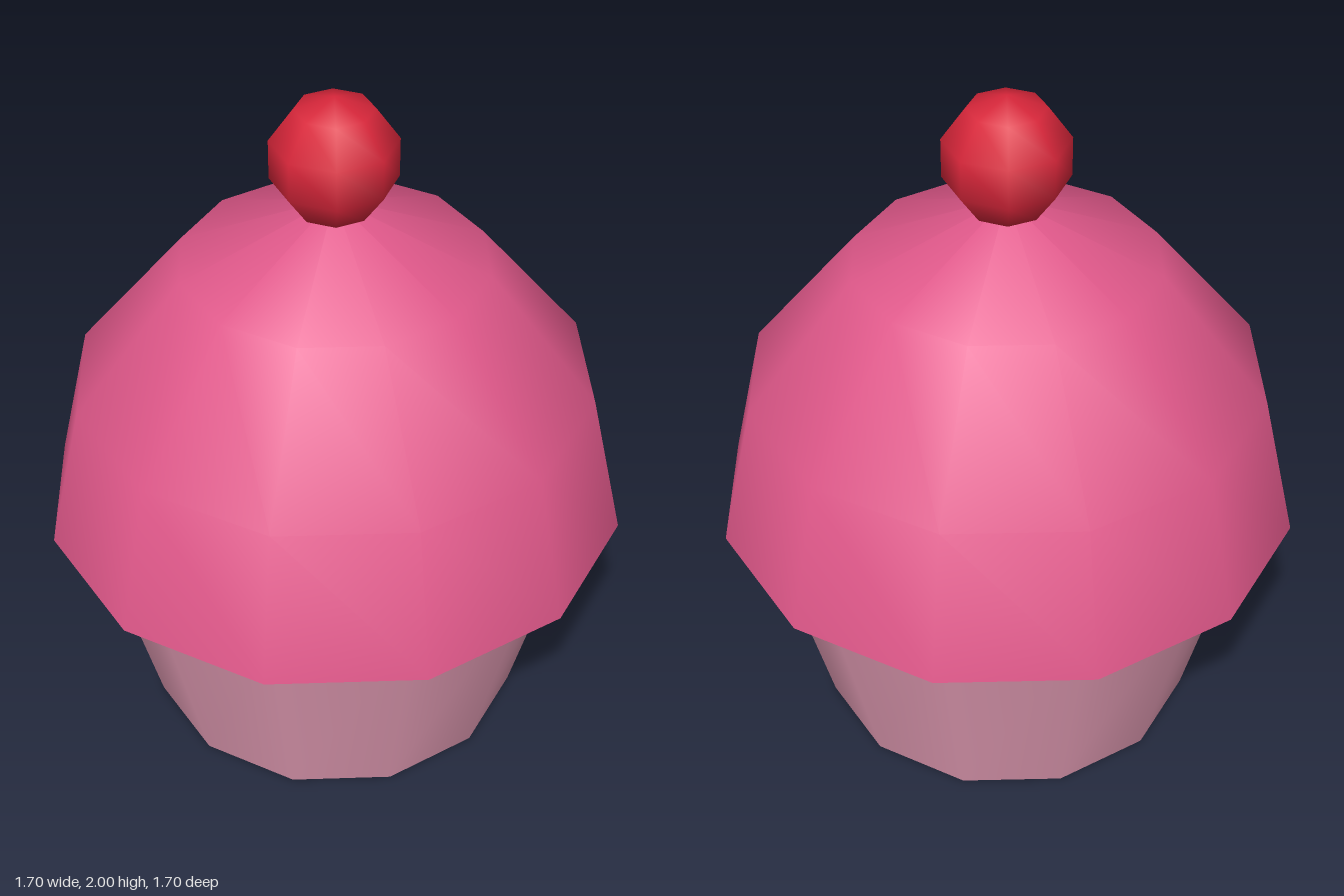
import * as THREE from 'three';

export function createModel() {
  const group = new THREE.Group();
  group.name = 'cupcake';

  const paper = new THREE.MeshStandardMaterial({ color: 0xde98b0 });
  paper.name = 'pale pink paper';
  const icing = new THREE.MeshStandardMaterial({ color: 0xe0588a, side: THREE.DoubleSide });
  icing.name = 'pink icing';
  const red = new THREE.MeshStandardMaterial({ color: 0xd8263a });
  red.name = 'cherry red';

  const add = (name, geometry, material, y = 0) => {
    const mesh = new THREE.Mesh(geometry, material);
    mesh.name = name;
    mesh.position.y = y;
    group.add(mesh);
  };

  // Tapered cup, its top tucked up inside the frosting
  const cupHeight = 0.76;
  add('cup', new THREE.CylinderGeometry(0.753, 0.562, cupHeight, 12), paper, cupHeight / 2);

  // Frosting: a twelve-sided dome shell, open underneath
  const profile = [[0.85, 0.693], [0.748, 1.128], [0.438, 1.505], [0, 1.692]]
    .map(([r, y]) => new THREE.Vector2(r, y));
  add('frosting', new THREE.LatheGeometry(profile, 12), icing);

  // Cherry sunk slightly into the peak
  add('cherry', new THREE.SphereGeometry(0.184, 8, 5), red, 1.816);

  return group;
}
